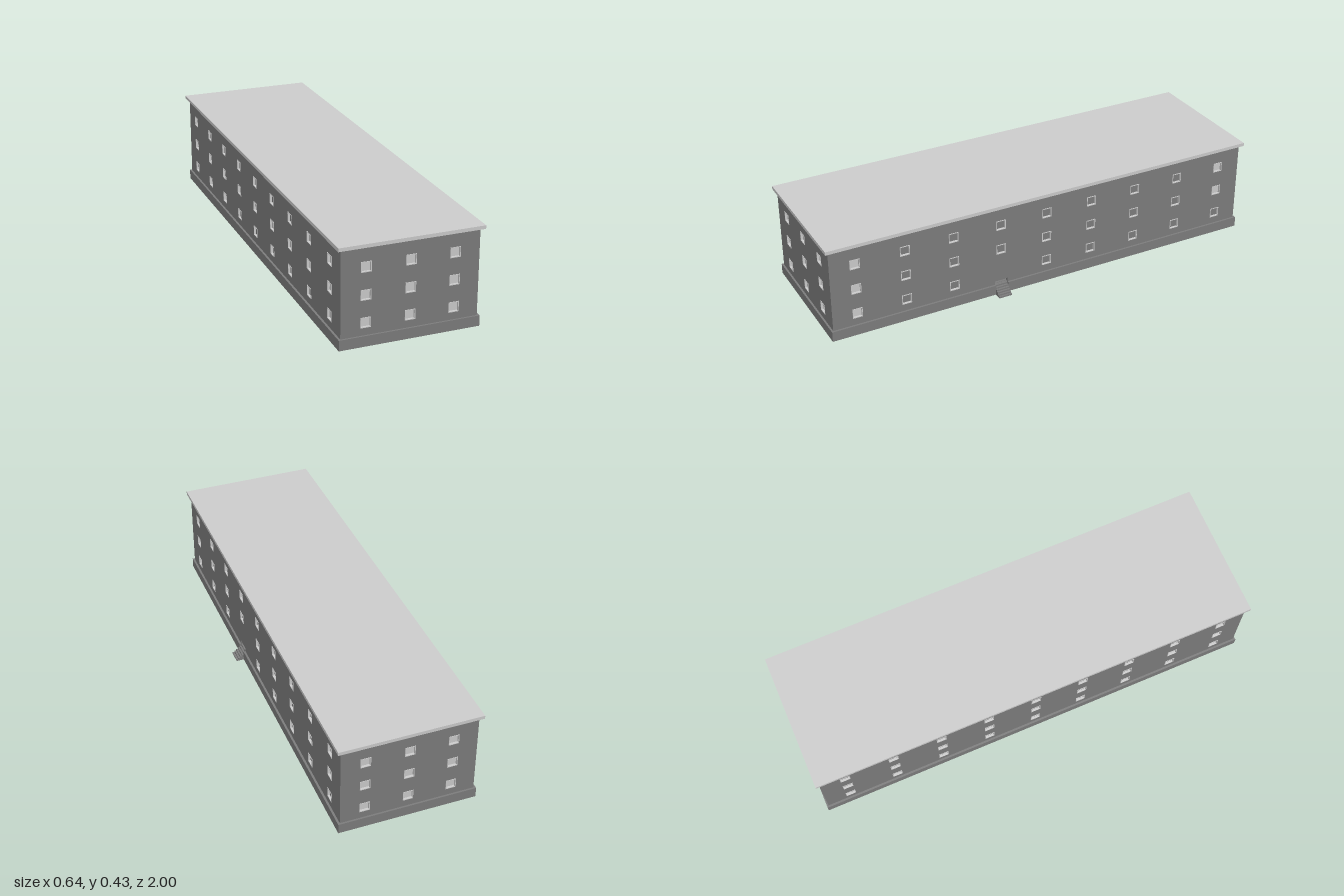
import * as THREE from 'three';

const light = new THREE.MeshStandardMaterial({ color: 0xcccccc, flatShading: true });
const dark = new THREE.MeshStandardMaterial({ color: 0x7c7c7c, flatShading: true });
const CX = -0.014;                 // building axis
const HALF_W = 0.289, HALF_L = 0.985;
const BASE_H = 0.045, WALL_TOP = 0.415, WALL_T = 0.012;
const WIN = 0.044, FRAME = 0.003;
const ROWS = [0.099, 0.215, 0.331];
const DOOR_Z = 0.219, DOOR_W = 0.06;

function mesh(name, geometry, material, x = 0, y = 0, z = 0) {
  const m = new THREE.Mesh(geometry, material);
  m.name = name;
  m.position.set(x, y, z);
  return m;
}

const box = (name, material, w, h, d, x, y, z) =>
  mesh(name, new THREE.BoxGeometry(w, h, d), material, x, y, z);

function rect(target, x0, y0, x1, y1) {
  target.moveTo(x0, y0).lineTo(x1, y0).lineTo(x1, y1).lineTo(x0, y1).closePath();
  return target;
}

const extrude = (shape, depth) => new THREE.ExtrudeGeometry(shape, { depth, bevelEnabled: false });

// Slim square surround that stands just proud of the wall
function frameGeometry() {
  const o = WIN / 2, i = o - FRAME;
  const shape = rect(new THREE.Shape(), -o, -o, o, o);
  shape.holes.push(rect(new THREE.Path(), -i, -i, i, i));
  return extrude(shape, WALL_T + 0.002);
}

// Wall facing local +z, outer face at z = 0, with recessed windows;
// isLit(column, row) picks the windows with a light pane
function makeWall(name, halfWidth, columns, isLit, doorU = null) {
  const wall = new THREE.Group();
  wall.name = name;
  const shape = rect(new THREE.Shape(), -halfWidth, BASE_H, halfWidth, WALL_TOP);
  const frame = frameGeometry();
  const pane = new THREE.BoxGeometry(WIN - FRAME, WIN - FRAME, 0.003);
  const h = WIN / 2;

  ROWS.forEach((y, row) => columns.forEach((u, column) => {
    // The entrance takes the place of one ground-floor window
    if (row === 0 && doorU !== null && Math.abs(u - doorU) < 0.01) return;
    shape.holes.push(rect(new THREE.Path(), u - h, y - h, u + h, y + h));
    wall.add(mesh('windowFrame', frame, light, u, y, -WALL_T));
    wall.add(mesh('windowPane', pane, isLit(column, row) ? light : dark, u, y, -0.0095));
  }));

  // Low opening above the entrance steps
  if (doorU !== null) {
    shape.holes.push(rect(new THREE.Path(), doorU - DOOR_W / 2, BASE_H + 0.0005, doorU + DOOR_W / 2, 0.063));
  }
  wall.add(mesh('wallPanel', extrude(shape, WALL_T), dark, 0, 0, -WALL_T));
  return wall;
}

// Plinth with a notch on its left side for the entrance steps
function makePlinth() {
  const x0 = -0.312, x1 = 0.284, z = 0.993, notch = 0.247;
  const a = -DOOR_Z - DOOR_W / 2, b = -DOOR_Z + DOOR_W / 2;
  const shape = new THREE.Shape();
  shape.moveTo(x0, -z).lineTo(x1, -z).lineTo(x1, a).lineTo(notch, a)
    .lineTo(notch, b).lineTo(x1, b).lineTo(x1, z).lineTo(x0, z).closePath();
  return mesh('plinth', extrude(shape, BASE_H).rotateX(-Math.PI / 2), dark);
}

// Steps climb from the ground into the wall, ending at a light threshold
function makeSteps() {
  const steps = new THREE.Group();
  steps.name = 'entranceSteps';
  const count = 9, tread = 0.0088, rise = 0.0068, back = 0.24;
  for (let i = 0; i < count; i++) {
    const outer = 0.318 - tread * i;
    const top = i === count - 1;
    steps.add(box(top ? 'threshold' : 'step', top ? light : dark, outer - back, rise, DOOR_W,
      (outer + back) / 2, rise * (i + 0.5), DOOR_Z));
  }
  steps.add(box('entranceBack', dark, 0.004, 0.03, DOOR_W, 0.239, 0.053, DOOR_Z));
  return steps;
}

export function createModel() {
  const model = new THREE.Group();
  model.name = 'building';

  model.add(makePlinth(), makeSteps());

  // Short end walls, every pane light
  const endColumns = [-1, 0, 1].map((i) => i * 0.1855);
  for (const s of [1, -1]) {
    const end = makeWall(s > 0 ? 'frontWall' : 'backWall', HALF_W - WALL_T, endColumns, () => true);
    end.position.set(CX, 0, s * HALF_L);
    end.rotation.y = s > 0 ? 0 : Math.PI;
    model.add(end);
  }

  // Long side walls, with only a few light panes near the ends
  const sideColumns = Array.from({ length: 9 }, (_, i) => (i - 4) * 0.2188);
  const leftLit = (column, row) => column === 0 || (column === 8 && row > 0);
  const rightLit = (column, row) => column === 8 || (column === 7 && row === 1);
  const left = makeWall('leftWall', HALF_L, sideColumns, leftLit, -DOOR_Z);
  const right = makeWall('rightWall', HALF_L, sideColumns, rightLit);
  [[left, 1], [right, -1]].forEach(([side, s]) => {
    side.position.x = CX + s * HALF_W;
    side.rotation.y = s * Math.PI / 2;
    model.add(side);
  });

  // Flat overhanging roof
  model.add(box('roof', light, 0.61, 0.015, 2, CX, 0.4225, 0));
  return model;
}
